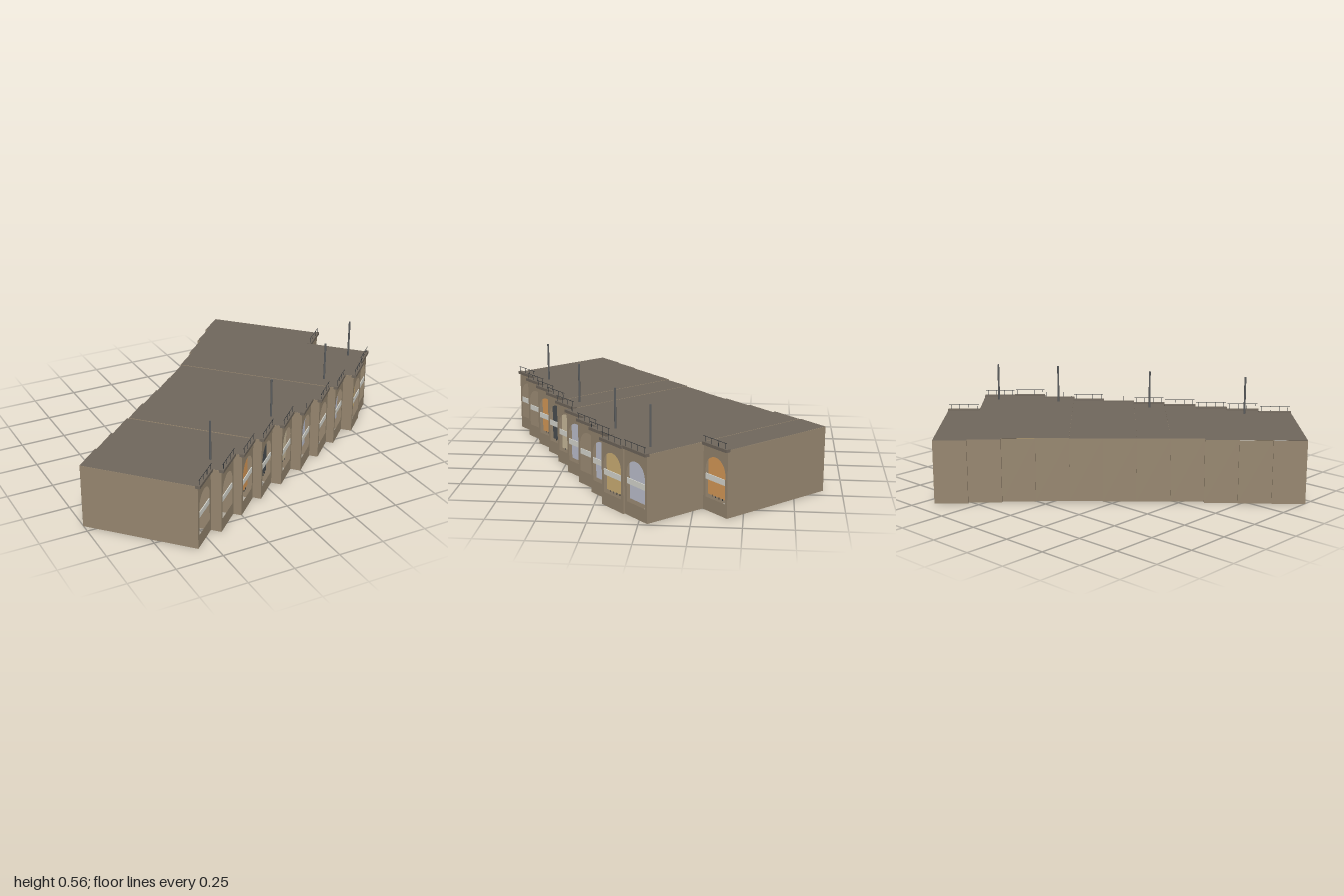
import * as THREE from 'three';

// Thin open surfaces throughout, so every material shows both sides
const mat = (name, color) => {
  const m = new THREE.MeshStandardMaterial({ color, side: THREE.DoubleSide });
  m.name = name;
  return m;
};

const BAY = 0.179, TOP = 0.347, PARTY = 0.003;  // bay width, wall height, side wall thickness
const SILL = 0.07, SPRING = 0.217, R = 0.073;   // arched opening

// Flat facade with an arched opening
function facadeGeometry() {
  const s = new THREE.Shape();
  s.moveTo(-BAY / 2, 0);
  s.lineTo(BAY / 2, 0);
  s.lineTo(BAY / 2, TOP);
  s.lineTo(-BAY / 2, TOP);
  s.closePath();
  const hole = new THREE.Path();
  hole.moveTo(-R, SILL);
  hole.lineTo(R, SILL);
  hole.lineTo(R, SPRING);
  hole.absarc(0, SPRING, R, 0, Math.PI, false);
  hole.lineTo(-R, SILL);
  s.holes.push(hole);
  return new THREE.ShapeGeometry(s, 12);
}

export function createModel() {
  const wall = mat('stone wall', 0x978770);
  const roof = mat('roof', 0x70675c);
  const band = mat('sign grey', 0xdcdcd4);
  const iron = mat('dark iron', 0x35383b);
  const steel = mat('pole grey', 0x5c5e5f);
  const orange = mat('orange shutter', 0xdc9d5a);
  const charcoal = mat('charcoal shutter', 0x4c5053);
  const tan = mat('tan shutter', 0xd0c0a0);
  const lilac = mat('lilac shutter', 0xc2c5d4);
  const gold = mat('gold shutter', 0xd2b478);

  // front position, back position, small lift, shutter colour (null = open arch)
  const bays = [
    [0.252, -0.361, 0, null],
    [0.308, -0.353, 0, null],
    [0.353, -0.344, 0, orange],
    [0.399, -0.332, 0.004, charcoal],
    [0.454, -0.324, 0.002, tan],
    [0.509, -0.318, 0, lilac],
    [0.557, -0.314, 0, null],
    [0.600, -0.318, 0.003, lilac],
    [0.660, -0.330, 0.003, gold],
    [0.650, -0.347, 0.003, lilac],
    [0.300, -0.360, 0.001, orange],
  ];

  const facadeGeo = facadeGeometry();
  const add = (parent, name, geo, material, x, y, z) => {
    const m = new THREE.Mesh(geo, material);
    m.name = name;
    m.position.set(x, y, z);
    parent.add(m);
  };
  const box = (w, h, d) => new THREE.BoxGeometry(w, h, d);
  const plane = (w, h) => new THREE.PlaneGeometry(w, h);

  const row = new THREE.Group();
  row.name = 'bayRow';
  row.rotation.y = 0.756;

  bays.forEach(([front, back, lift, shutter], i) => {
    const bay = new THREE.Group();
    bay.name = 'bay' + (i + 1);
    bay.position.set(-1.036 + BAY * (i + 0.5), lift, front);
    row.add(bay);

    // Floorless shell: two side walls, back wall, roof and facade
    const depth = front - back;
    for (const s of [-1, 1])
      add(bay, 'sideWall', box(PARTY, TOP, depth), wall, s * (BAY - PARTY) / 2, TOP / 2, -depth / 2);
    add(bay, 'backWall', plane(BAY, TOP).rotateY(Math.PI), wall, 0, TOP / 2, -depth - 0.0005);
    add(bay, 'roof', plane(BAY, depth).rotateX(-Math.PI / 2), roof, 0, TOP + 0.001, -depth / 2);
    add(bay, 'facade', facadeGeo, wall, 0, 0, 0.0005);
    add(bay, 'cornice', box(BAY + 0.004, 0.016, 0.024), roof, 0, TOP - 0.002, 0);

    // Sign band across the opening, wide shutter set back behind it
    add(bay, 'signBand', box(2 * R, 0.03, 0.004), band, 0, 0.178, -0.002);
    if (shutter) {
      add(bay, 'shutter', plane(BAY - 2 * PARTY, 0.25), shutter, 0, 0.2, -0.028);
      if (shutter !== lilac)
        for (let k = -2; k <= 2; k++)
          add(bay, 'shutterFoot', box(0.003, 0.01, 0.003), iron, k * 0.026, 0.074, -0.026);
    }

    // Thin roof railing
    const posts = i === 5 ? [-0.03] : [-0.075, -0.025, 0.025, 0.075];
    for (const x of posts)
      add(bay, 'railPost', box(0.002, 0.03, 0.002), iron, x, TOP + 0.02, 0.005);
    if (i !== 5) add(bay, 'rail', box(BAY - 0.006, 0.002, 0.002), iron, 0, TOP + 0.035, 0.005);

    // Tall poles on some bays
    if ([1, 4, 7, 9].includes(i))
      add(bay, 'pole', new THREE.CylinderGeometry(0.0055, 0.0055, 0.214, 8), steel, 0, TOP + 0.107, -0.09);
  });

  const model = new THREE.Group();
  model.name = 'arcadeBuilding';
  model.add(row);
  return model;
}
